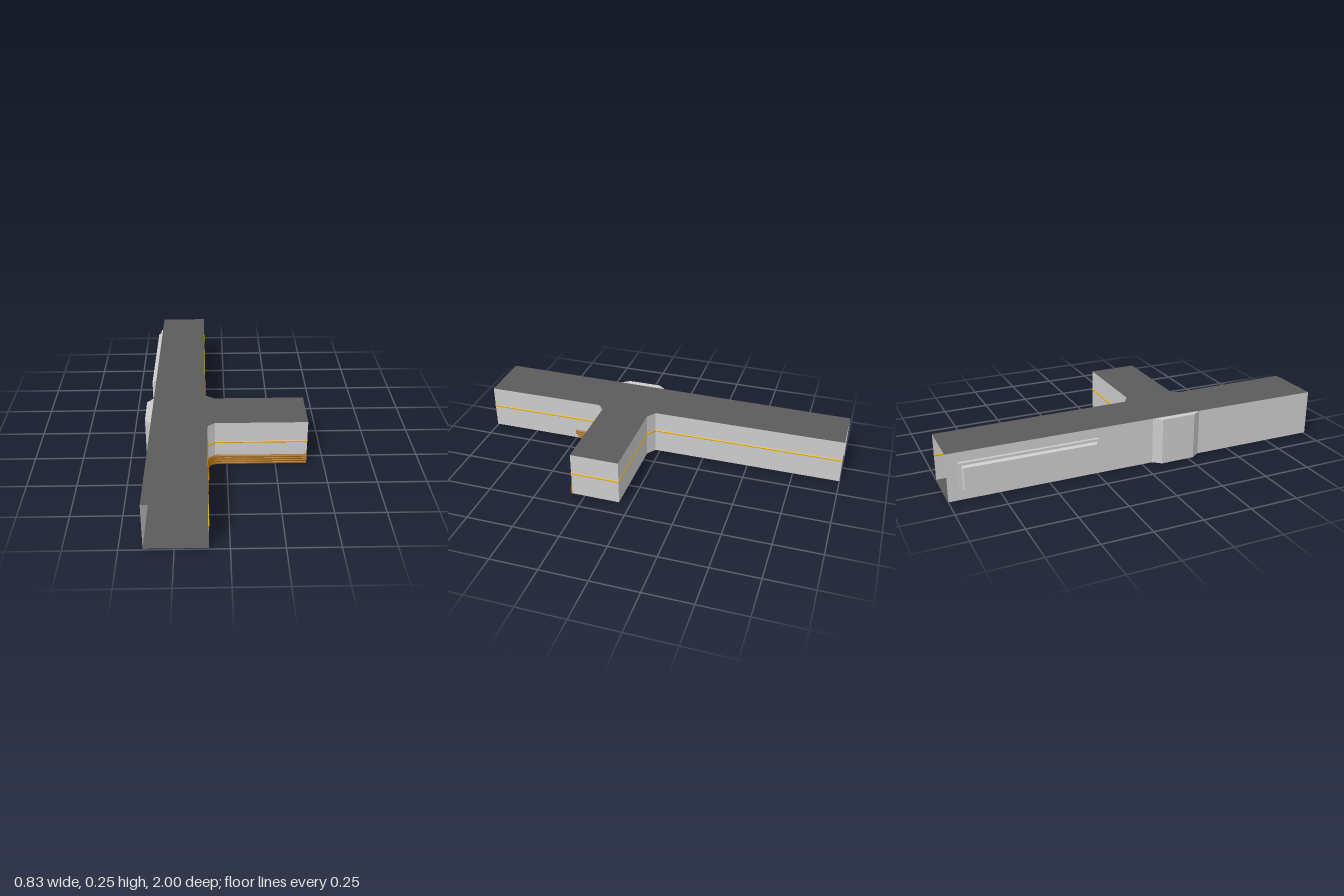
import * as THREE from 'three';

const TOP = 0.25;
const RAIL_Y = 0.137;
const floorY = (z) => 0.008 + 0.003 * z;
const leftX = (z) => -0.381 - 0.009 * z;

const grey = new THREE.MeshStandardMaterial({ color: 0xcccccc, side: THREE.DoubleSide, flatShading: true });
const darkGrey = new THREE.MeshStandardMaterial({ color: 0x5b5b5b, side: THREE.DoubleSide, flatShading: true });
const gold = new THREE.MeshStandardMaterial({ color: 0xf0b400 });
const bronze = new THREE.MeshStandardMaterial({ color: 0xa5690a, side: THREE.DoubleSide });

// Plan outlines as [x, z]
const rightPath = [
  [-0.118, -1], [-0.11, 0.025], [-0.06, 0.06], [0.411, 0.06], [0.411, 0.318],
  [-0.06, 0.318], [-0.095, 0.345], [-0.1, 0.365], [-0.095, 1],
];
const alcovePath = [[leftX(0.32), 0.32], [-0.415, 0.275], [-0.415, 0.095], [leftX(0.055), 0.055]];
const frontLeft = [leftX(1), 1];
const backLeft = [leftX(-1), -1];

function named(geometry, material, name) {
  const mesh = new THREE.Mesh(geometry, material);
  mesh.name = name;
  return mesh;
}

// Quads given as four 3D corners each, counter-clockwise from the visible side
function quads(list) {
  const pos = [];
  for (const [a, b, c, d] of list) pos.push(...a, ...b, ...c, ...a, ...c, ...d);
  const g = new THREE.BufferGeometry();
  g.setAttribute('position', new THREE.Float32BufferAttribute(pos, 3));
  g.computeVertexNormals();
  return g;
}

// Vertical wall along a plan path, facing the inside of the corridor
function wall(path) {
  const list = [];
  for (let i = 0; i < path.length - 1; i++) {
    const [ax, az] = path[i], [bx, bz] = path[i + 1];
    list.push([[ax, floorY(az), az], [bx, floorY(bz), bz], [bx, TOP, bz], [ax, TOP, az]]);
  }
  return quads(list);
}

// Flat surface from a plan outline
function slab(path, faceUp) {
  const s = faceUp ? -1 : 1;
  const shape = new THREE.Shape(path.map(([x, z]) => new THREE.Vector2(x, s * z)));
  return new THREE.ShapeGeometry(shape).rotateX((s * Math.PI) / 2);
}

export function createModel() {
  const group = new THREE.Group();
  group.name = 'corridorJunction';

  // Dark floor and ceiling, with a light cap over the alcove
  const floor = slab([...rightPath, frontLeft, ...alcovePath, backLeft], true);
  const p = floor.attributes.position;
  for (let i = 0; i < p.count; i++) p.setY(i, floorY(p.getZ(i)));
  group.add(named(floor, darkGrey, 'floor'));
  const ceiling = slab([...rightPath, frontLeft, backLeft], false).translate(0, TOP, 0);
  group.add(named(ceiling, darkGrey, 'ceiling'));
  group.add(named(slab(alcovePath, false).translate(0, TOP, 0), grey, 'alcoveCeiling'));

  // Walls of the side arm and right side, front left wall and alcove
  group.add(named(wall(rightPath), grey, 'rightWall'));
  group.add(named(wall([frontLeft, alcovePath[0]]), grey, 'frontLeftWall'));
  group.add(named(wall(alcovePath), grey, 'alcove'));

  // Back left wall with an opening for the recess (drawn in -z, y)
  const z0 = -0.945, z1 = -0.245, y0 = 0.05, y1 = 0.2;
  const shape = new THREE.Shape([
    new THREE.Vector2(-0.055, floorY(0.055)), new THREE.Vector2(1, floorY(-1)),
    new THREE.Vector2(1, TOP), new THREE.Vector2(-0.055, TOP),
  ]);
  shape.holes.push(new THREE.Path([
    new THREE.Vector2(-z1, y0), new THREE.Vector2(-z1, y1),
    new THREE.Vector2(-z0, y1), new THREE.Vector2(-z0, y0),
  ]));
  const backWall = new THREE.ShapeGeometry(shape);
  const q = backWall.attributes.position;
  for (let i = 0; i < q.count; i++) {
    const z = -q.getX(i);
    q.setXYZ(i, leftX(z), q.getY(i), z);
  }
  backWall.computeVertexNormals();
  group.add(named(backWall, grey, 'backLeftWall'));

  // Stepped recess: rectangles of [inset, depth] joined into rings
  const loops = [[0, 0], [0, 0.016], [0.013, 0.016], [0.02, 0.032]].map(([inset, depth]) =>
    [[z1 - inset, y0 + inset], [z0 + inset, y0 + inset], [z0 + inset, y1 - inset], [z1 - inset, y1 - inset]]
      .map(([z, y]) => [leftX(z) - depth, y, z]));
  const faces = [loops[loops.length - 1]];
  for (let k = 0; k < loops.length - 1; k++) {
    for (let i = 0; i < 4; i++) {
      const j = (i + 1) % 4;
      faces.push([loops[k][i], loops[k][j], loops[k + 1][j], loops[k + 1][i]]);
    }
  }
  group.add(named(quads(faces), grey, 'wallRecess'));

  // Thin flattened rail along the right wall and around the arm
  const rail = new THREE.Group();
  rail.name = 'wallRail';
  for (let i = 0; i < rightPath.length - 1; i++) {
    const [ax, az] = rightPath[i], [bx, bz] = rightPath[i + 1];
    const rod = new THREE.CylinderGeometry(0.0052, 0.0052, Math.hypot(bx - ax, bz - az), 12);
    const bar = named(rod.rotateX(Math.PI / 2).scale(0.5, 1, 1), gold, 'railSegment');
    bar.position.set((ax + bx) / 2, RAIL_Y, (az + bz) / 2);
    bar.rotation.y = Math.atan2(bx - ax, bz - az);
    rail.add(bar);
  }
  group.add(rail);

  // Stack of pipes along the arm, bending round the front corner
  const pipes = new THREE.Group();
  pipes.name = 'pipes';
  [[0.0135, 0.47], [0.0265, 0.485], [0.0395, 0.5], [0.0525, 0.5]].forEach(([y, end], k) => {
    const plan = [[0.411, 0.319], [0.25, 0.319], [0.1, 0.319], [-0.05, 0.319], [-0.085, 0.333], [-0.1, 0.365], [-0.1, 0.42], [-0.099, end]];
    const points = plan.map(([x, z], i) => new THREE.Vector3(x, y + 0.0007 * Math.sin(i * 1.7 + k), z));
    const curve = new THREE.CatmullRomCurve3(points);
    pipes.add(named(new THREE.TubeGeometry(curve, 48, 0.0082, 12), bronze, 'pipe'));
  });
  group.add(pipes);

  return group;
}
